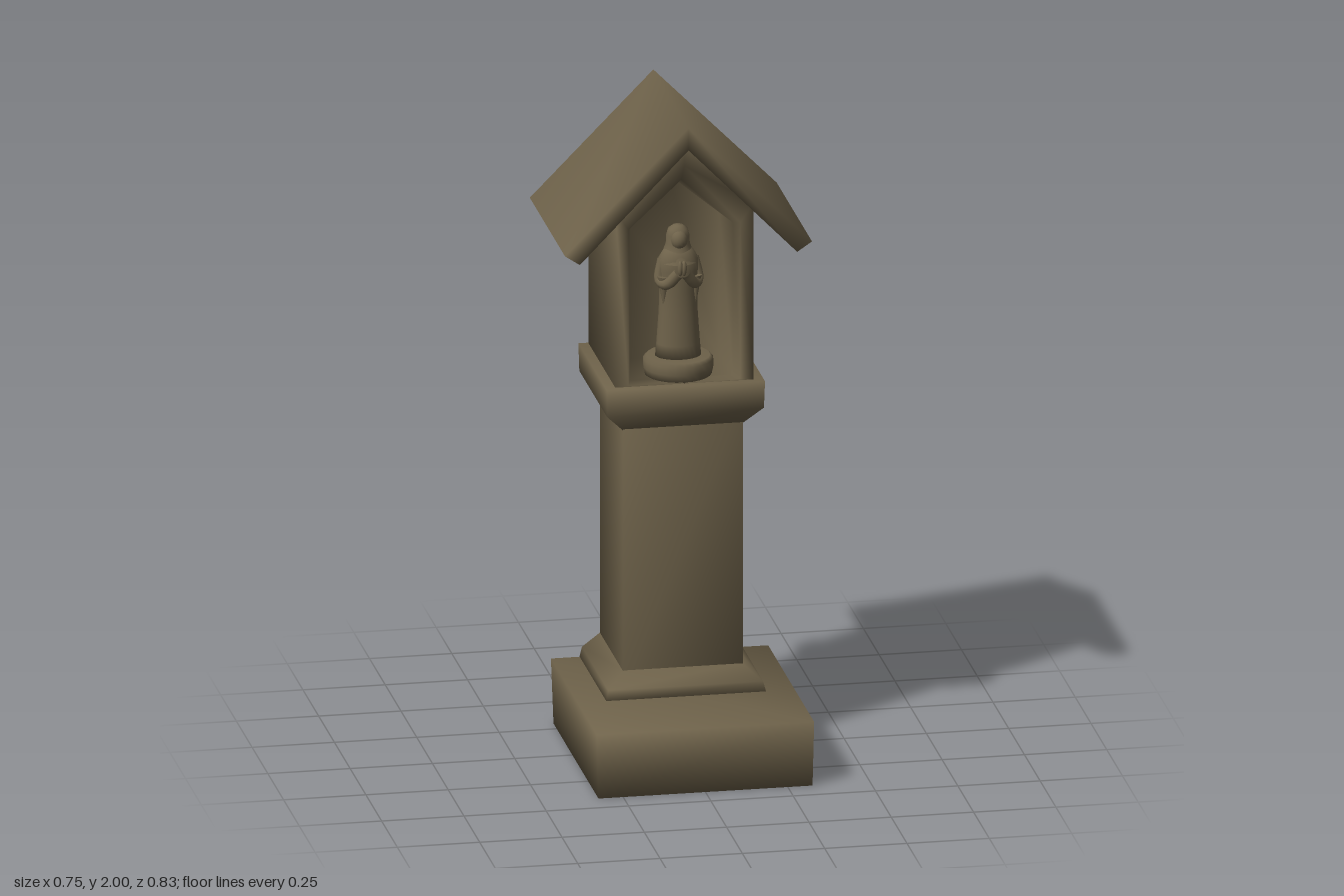
import * as THREE from 'three';

const stone = new THREE.MeshStandardMaterial({ color: 0x6e624a });
stone.name = 'weathered stone';

// Skin a closed solid over rings of [x, y, z] points; shared vertices give soft normals
function loft(rings) {
  const n = rings[0].length, last = (rings.length - 1) * n, index = [];
  for (let r = 0; r < rings.length - 1; r++) {
    for (let i = 0; i < n; i++) {
      const a = r * n + i, b = r * n + (i + 1) % n;
      index.push(a, b, b + n, a, b + n, a + n);
    }
  }
  for (let i = 1; i < n - 1; i++) {
    index.push(0, i + 1, i, last, last + i, last + i + 1);
  }
  const g = new THREE.BufferGeometry();
  g.setAttribute('position', new THREE.Float32BufferAttribute(rings.flat(2), 3));
  g.setIndex(index);
  g.computeVertexNormals();
  return g;
}

// Horizontal rectangle: height, half width, back z, front z
const rect = ([y, w, zb, zf]) => [[w, y, zf], [w, y, zb], [-w, y, zb], [-w, y, zf]];
// Upright gabled outline: half width, foot, shoulder, apex, z
const gable = ([w, y0, ys, ya, z]) =>
  [[w, y0, z], [w, ys, z], [0, ya, z], [-w, ys, z], [-w, y0, z]];

export function createModel() {
  const model = new THREE.Group();
  model.name = 'waysideShrine';
  const add = (name, geometry, parent = model) => {
    const mesh = new THREE.Mesh(geometry, stone);
    mesh.name = name;
    parent.add(mesh);
    return mesh;
  };

  // Pedestal, shaft and mouldings
  add('baseSlab', loft([[0, 0.325, -0.3, 0.415], [0.2, 0.33, -0.315, 0.415]].map(rect)));
  add('footMoulding', loft([
    [0.19, 0.245, -0.318, 0.11], [0.23, 0.235, -0.318, 0.1], [0.275, 0.18, -0.312, 0.055],
  ].map(rect)));
  add('shaft', loft([[0.2, 0.182, -0.312, 0.055], [1.1, 0.182, -0.312, 0.055]].map(rect)));
  add('capital', loft([
    [1.03, 0.182, -0.312, 0.052], [1.09, 0.238, -0.345, 0.098], [1.175, 0.24, -0.35, 0.105],
  ].map(rect)));

  // House with a hollow niche: back, outer wall, frame, reveal, niche back
  add('nicheHouse', loft([
    [0.21, 1.17, 1.73, 1.95, -0.345],
    [0.21, 1.17, 1.73, 1.95, 0.08],
    [0.17, 1.178, 1.67, 1.86, 0.08],
    [0.157, 1.178, 1.655, 1.8, 0.03],
    [0.152, 1.178, 1.65, 1.75, -0.17],
  ].map(gable)));

  // Gabled roof
  const chevron = [[0, 2], [-0.375, 1.62], [-0.33, 1.59], [0, 1.93], [0.33, 1.59], [0.375, 1.62]];
  add('roof', loft([-0.415, 0.145].map(z => chevron.map(([x, y]) => [x, y, z]))));

  // Praying statue on a round plinth
  const statue = new THREE.Group();
  statue.name = 'statue';
  statue.position.set(0, 1.175, -0.02);
  model.add(statue);
  const lathe = (pts, seg = 24) =>
    new THREE.LatheGeometry(pts.map(p => new THREE.Vector2(...p)), seg);

  add('plinth', lathe([[0, 0], [0.1, 0], [0.105, 0.025], [0.105, 0.05], [0.095, 0.06], [0, 0.06]]), statue);
  add('robe', lathe([
    [0, 0.055], [0.07, 0.055], [0.066, 0.1], [0.059, 0.2], [0.057, 0.27],
    [0.062, 0.33], [0.06, 0.365], [0.045, 0.39], [0.028, 0.405], [0, 0.41],
  ]), statue).scale.z = 0.8;
  add('veil', lathe([
    [0.06, 0.355], [0.044, 0.385], [0.036, 0.41], [0.035, 0.435],
    [0.029, 0.455], [0.015, 0.465], [0, 0.467],
  ]), statue).position.z = -0.006;
  const face = add('face', new THREE.SphereGeometry(0.026, 16, 12), statue);
  face.position.set(0, 0.425, 0.014);
  face.scale.y = 1.2;

  for (const s of [-1, 1]) {
    // Arm bends at the elbow and reaches the joined hands
    const arm = new THREE.CatmullRomCurve3([
      new THREE.Vector3(s * 0.046, 0.365, 0),
      new THREE.Vector3(s * 0.058, 0.3, 0.012),
      new THREE.Vector3(s * 0.042, 0.295, 0.04),
      new THREE.Vector3(s * 0.01, 0.335, 0.062),
    ]);
    add('arm', new THREE.TubeGeometry(arm, 14, 0.017, 10), statue);
    // Hanging sleeve
    const sleeve = add('sleeve', new THREE.ConeGeometry(0.02, 0.1, 12), statue);
    sleeve.position.set(s * 0.048, 0.265, 0.022);
    sleeve.rotation.x = Math.PI;
    const hand = add('hand', new THREE.SphereGeometry(0.012, 10, 8), statue);
    hand.position.set(s * 0.006, 0.35, 0.064);
    hand.scale.set(0.7, 2, 0.9);
  }
  return model;
}
